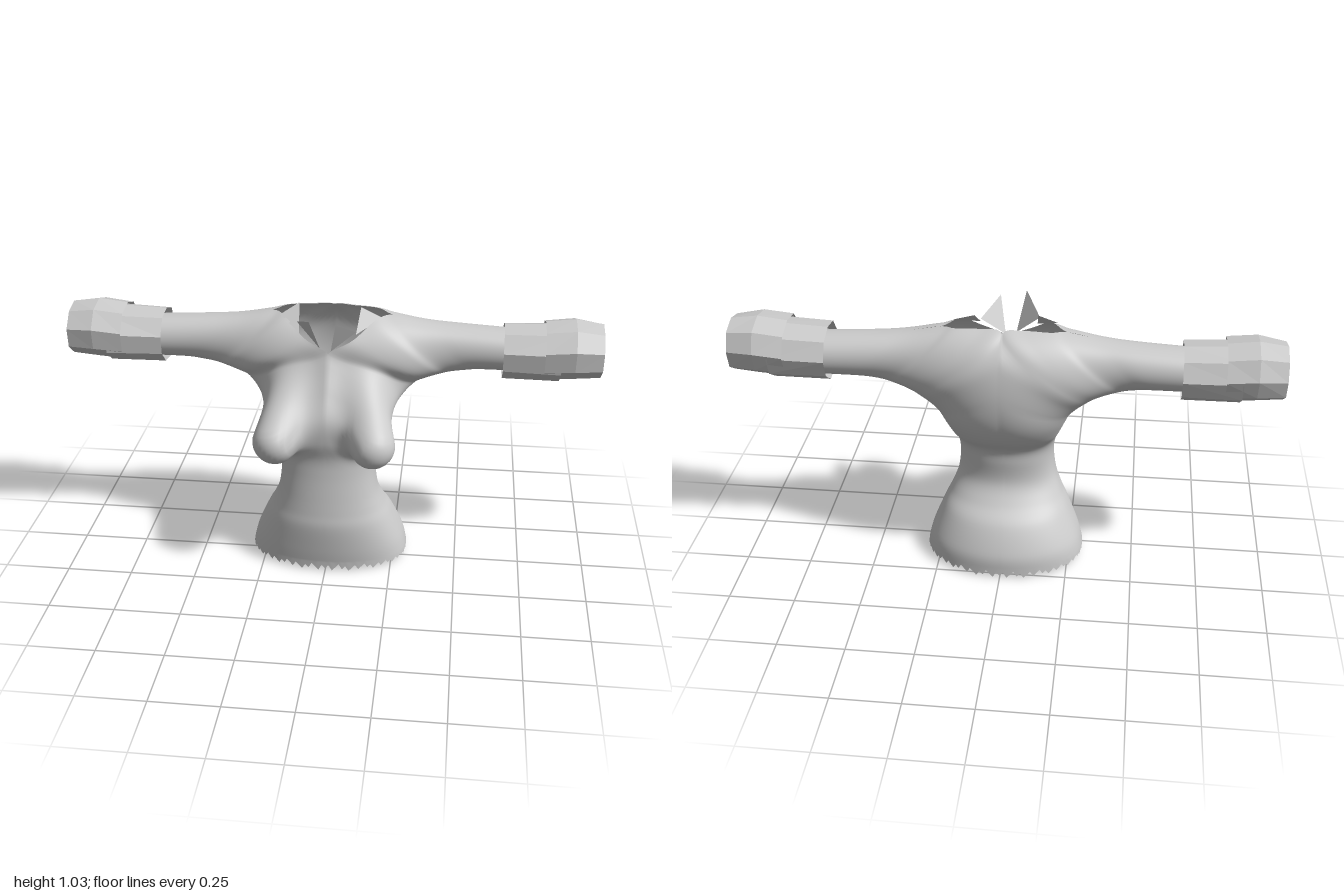
import * as THREE from 'three';
import { mergeVertices } from 'three/addons/utils/BufferGeometryUtils.js';

const cloth = new THREE.MeshStandardMaterial({ color: 0xcccccc, side: THREE.DoubleSide });
cloth.name = 'lightGreyCloth';
const facetedCloth = cloth.clone();
facetedCloth.flatShading = true;

// Level sections of the trunk: height, half width, side z, front z, back z
const trunk = [
  [0.035, 0.305, -0.05, 0.15, -0.278],
  [0.10, 0.288, -0.05, 0.16, -0.272],
  [0.20, 0.245, -0.03, 0.17, -0.225],
  [0.26, 0.215, -0.01, 0.165, -0.165],
  [0.33, 0.19, 0.01, 0.158, -0.122],
  [0.42, 0.18, 0.01, 0.15, -0.125],
  [0.49, 0.188, 0, 0.15, -0.14],
].map(([y, w, zo, zf, zb]) => [0, y, 0, y, w, y, zo, zf, zb, 0, 0, 0.75]);

// Sections turning from chest to arm: front inner x,y, back inner x,y,
// outer x,y, outer z, front z, back z, front closure, back closure, front roundness
const shoulder = [
  [0, 0.57, 0, 0.57, 0.207, 0.55, -0.03, 0.168, -0.215, 0, 0, 0.6],
  [0, 0.66, 0, 0.66, 0.228, 0.61, -0.06, 0.165, -0.262, 0, 0, 0.5],
  [0, 0.75, 0, 0.77, 0.25, 0.66, -0.08, 0.117, -0.28, 0, 0, 0.52],
  [0, 0.83, 0, 0.91, 0.285, 0.70, -0.10, 0.07, -0.272, 0, 0.25, 0.62],
  [0, 0.88, 0, 0.995, 0.325, 0.733, -0.11, 0.045, -0.26, 0, 0.78, 0.75],
  [0.09, 0.93, 0.08, 1.0, 0.365, 0.752, -0.11, 0.04, -0.245, 0.3, 0.85, 0.85],
  [0.165, 0.985, 0.17, 0.995, 0.41, 0.766, -0.11, 0.015, -0.225, 0.65, 0.85, 0.85],
  [0.225, 0.985, 0.225, 0.985, 0.45, 0.775, -0.11, -0.01, -0.21, 1, 1, 0.85],
  [0.34, 0.965, 0.34, 0.965, 0.50, 0.782, -0.11, -0.025, -0.203, 1, 1, 0.85],
  [0.46, 0.953, 0.46, 0.953, 0.56, 0.787, -0.115, -0.03, -0.205, 1, 1, 0.85],
  [0.68, 0.94, 0.68, 0.94, 0.68, 0.788, -0.115, -0.03, -0.205, 1, 1, 0.85],
];

// Smooth interpolation between sections
function sectionAt(list, t) {
  const i = Math.min(Math.floor(t), list.length - 2), f = t - i;
  const [a, b, c, d] = [i - 1, i, i + 1, i + 2].map(
    k => list[Math.max(0, Math.min(list.length - 1, k))]);
  return b.map((v, k) => v + 0.5 * f * (c[k] - a[k] + f * (2 * a[k] - 5 * v + 4 * c[k] - d[k]
    + f * (3 * (v - c[k]) + d[k] - a[k]))));
}

// Tapered bust volume, sloping from upper chest down to a round front
const bustTop = new THREE.Vector3(0.13, 0.76, -0.01);
const bustAxis = new THREE.Vector3(0.18, 0.584, 0.192).sub(bustTop);
function bustDistance(p) {
  const q = p.clone().sub(bustTop);
  const h = THREE.MathUtils.clamp(q.dot(bustAxis) / bustAxis.lengthSq(), 0, 1);
  return q.addScaledVector(bustAxis, -h).length() - (0.07 + 0.013 * h);
}

// Moves a chest point outward onto the smooth union of chest and bust
const chestCore = new THREE.Vector3(0, 0.7, -0.1);
function swellChest(p) {
  const blend = 0.075, dir = p.clone().sub(chestCore).normalize();
  let t = 0.35;
  for (let n = 0; n < 80 && t > 0; n++) {
    const d = bustDistance(p.clone().addScaledVector(dir, t));
    const h = Math.max(blend - Math.abs(t - d), 0) / blend;
    const gap = Math.min(t, d) - h * h * blend / 4;
    if (gap < 2e-4) break;
    t -= gap * 0.8;
  }
  return p.addScaledVector(dir, Math.max(t, 0));
}

// Front or back surface point, s running from the side (0) to the centre or shoulder line (1)
function bodyPoint(section, s, back) {
  const [fx, fy, bx, by, ox, oy, zo, zf, zb, cf, cb, roundness] = section;
  const ix = Math.max(0, back ? bx : fx), iy = back ? by : fy;
  const closure = THREE.MathUtils.clamp(back ? cb : cf, 0, 1);
  const end = Math.PI / 2 * (1 + closure), a = s * end;
  const k = (1 - Math.cos(a)) / (1 - Math.cos(end));
  const depth = Math.pow(Math.max(0, Math.sin(a)), back ? 0.85 : roundness);
  return swellChest(new THREE.Vector3(
    ox + (ix - ox) * k, oy + (iy - oy) * k, zo + ((back ? zb : zf) - zo) * depth));
}

// Trunk, bust, shoulders and arms in one smooth skin
function bodyGeometry() {
  const sections = [...trunk, ...shoulder];
  const steps = 6, rows = (sections.length - 1) * steps, cols = 36, positions = [];
  for (const back of [false, true]) {
    const grid = [];
    for (let i = 0; i <= rows; i++) {
      const section = sectionAt(sections, i / steps);
      grid.push([]);
      for (let j = 0; j <= cols; j++) {
        const p = bodyPoint(section, j / cols, back);
        // Ragged hem, deeper towards front and back
        if (i === 0) p.y -= (0.01 + 0.025 * j / cols) * ((j * 3) % 8) / 7;
        grid[i].push(p);
      }
    }
    for (const side of [1, -1]) {
      const flip = (side < 0) !== back;
      for (let i = 0; i < rows; i++) for (let j = 0; j < cols; j++) {
        const a = grid[i][j], b = grid[i + 1][j], c = grid[i + 1][j + 1], d = grid[i][j + 1];
        const corners = flip ? [a, c, b, a, d, c] : [a, b, c, a, c, d];
        for (const p of corners) positions.push(side * p.x, p.y, p.z);
      }
    }
  }
  const raw = new THREE.BufferGeometry();
  raw.setAttribute('position', new THREE.Float32BufferAttribute(positions, 3));
  const g = mergeVertices(raw, 1e-4);
  g.computeVertexNormals();
  return g;
}

// Faceted open tube along x from rings of [x, centre y, centre z, radius y, radius z]
function cuffGeometry(rings, side, sides = 9) {
  const positions = [];
  const at = (r, k) => {
    const [x, y, z, ry, rz] = rings[r], a = ((k % sides) + 0.4) / sides * Math.PI * 2;
    const wobble = 1 + 0.03 * Math.sin(k % sides * 2.3 + r * 0.6);
    return [side * x, y + ry * wobble * Math.sin(a), z + rz * wobble * Math.cos(a)];
  };
  for (let r = 0; r < rings.length - 1; r++) for (let k = 0; k < sides; k++) {
    const a = at(r, k), b = at(r, k + 1), c = at(r + 1, k + 1), d = at(r + 1, k);
    const corners = side > 0 ? [a, c, b, a, d, c] : [a, b, c, a, c, d];
    for (const p of corners) positions.push(...p);
  }
  const g = new THREE.BufferGeometry();
  g.setAttribute('position', new THREE.Float32BufferAttribute(positions, 3));
  g.computeVertexNormals();
  return g;
}

export function createModel() {
  const model = new THREE.Group();
  model.name = 'garmentTorso';
  const add = (name, geometry, material) => {
    const mesh = new THREE.Mesh(geometry, material);
    mesh.name = name;
    model.add(mesh);
  };

  add('body', bodyGeometry(), cloth);

  // Two overlapping cuffs on each arm
  for (const side of [1, -1]) {
    const label = side > 0 ? 'left' : 'right';
    const z = side > 0 ? -0.1 : -0.12;
    add(label + 'InnerCuff', cuffGeometry([
      [0.64, 0.864, z - 0.005, 0.104, 0.118],
      [0.85, 0.868, z, 0.108, 0.128],
    ], side), facetedCloth);
    add(label + 'OuterCuff', cuffGeometry([
      [0.79, 0.875, z, 0.11, 0.13],
      [0.9, 0.885, z, 0.113, 0.132],
      [1.0, 0.88, z, 0.102, 0.112],
    ], side), facetedCloth);
  }

  // Torn collar points at the front of the neck
  const shards = [
    [[-0.12, 0.985, 0], [-0.03, 0.9, 0.045], [-0.06, 1.035, 0.125]],
    [[0.1, 0.96, 0.02], [0.01, 0.89, 0.045], [0.035, 1.02, 0.11]],
    [[-0.19, 0.99, -0.05], [-0.11, 0.95, 0.02], [-0.12, 1.03, -0.08]],
    [[0.19, 0.99, -0.06], [0.1, 0.95, 0.02], [0.11, 1.02, -0.08]],
  ];
  for (const shard of shards) {
    const g = new THREE.BufferGeometry();
    g.setAttribute('position', new THREE.Float32BufferAttribute(shard.flat(), 3));
    g.computeVertexNormals();
    add('collarPoint', g, facetedCloth);
  }
  return model;
}
